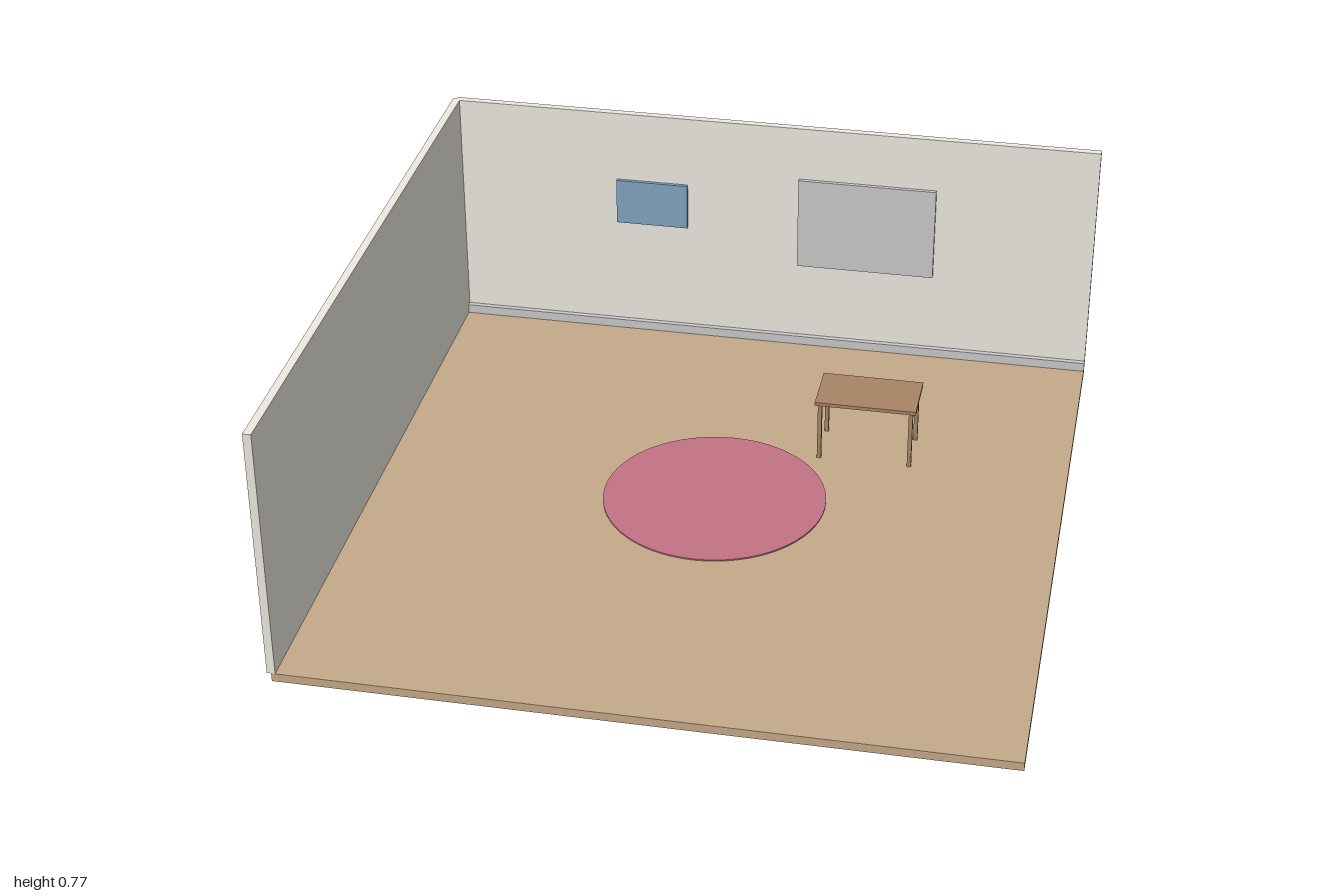
import * as THREE from 'three';

const mat = (color) => new THREE.MeshStandardMaterial({ color });

// Box given by its low and high limits on each axis
function box(name, material, [x0, x1], [y0, y1], [z0, z1]) {
  const mesh = new THREE.Mesh(new THREE.BoxGeometry(x1 - x0, y1 - y0, z1 - z0), material);
  mesh.position.set((x0 + x1) / 2, (y0 + y1) / 2, (z0 + z1) / 2);
  mesh.name = name;
  return mesh;
}

export function createModel() {
  const room = new THREE.Group();
  room.name = 'room';

  const wall = mat(0xefebe2), grey = mat(0xcccccc), wood = mat(0xa88566);
  const floorY = 0.025, wallTop = 0.77, inner = -0.977;

  // Floor and the two walls
  room.add(
    box('floor', mat(0xc6aa8a), [-0.988, 1], [0, floorY], [-0.988, 1]),
    box('backWall', wall, [-0.988, 1], [floorY, wallTop], [-1, inner]),
    box('sideWall', wall, [-1, inner], [floorY, wallTop], [-0.988, 1]),
  );

  // Fittings on the back wall
  room.add(
    box('baseboard', grey, [inner, 1], [floorY, 0.053], [inner, -0.961]),
    box('picture', mat(0x81a5c2), [-0.482, -0.258], [0.4, 0.546], [inner, -0.966]),
    box('wallPanel', grey, [0.09, 0.514], [0.304, 0.6], [inner, -0.965]),
  );

  // Round rug
  const rug = new THREE.Mesh(new THREE.CylinderGeometry(0.323, 0.323, 0.004, 64), mat(0xc47386));
  rug.position.set(0.004, floorY + 0.002, -0.046);
  rug.name = 'rug';
  room.add(rug);

  // Table with four legs
  const table = new THREE.Group();
  table.name = 'table';
  table.position.set(0.401, floorY, -0.395);
  table.add(box('tableTop', wood, [-0.149, 0.149], [0.182, 0.193], [-0.086, 0.086]));
  for (const sx of [-1, 1]) {
    for (const sz of [-1, 1]) {
      const x = sx * 0.134, z = sz * 0.075, h = 0.006;
      table.add(box('tableLeg', wood, [x - h, x + h], [0, 0.182], [z - h, z + h]));
    }
  }
  room.add(table);
  return room;
}
